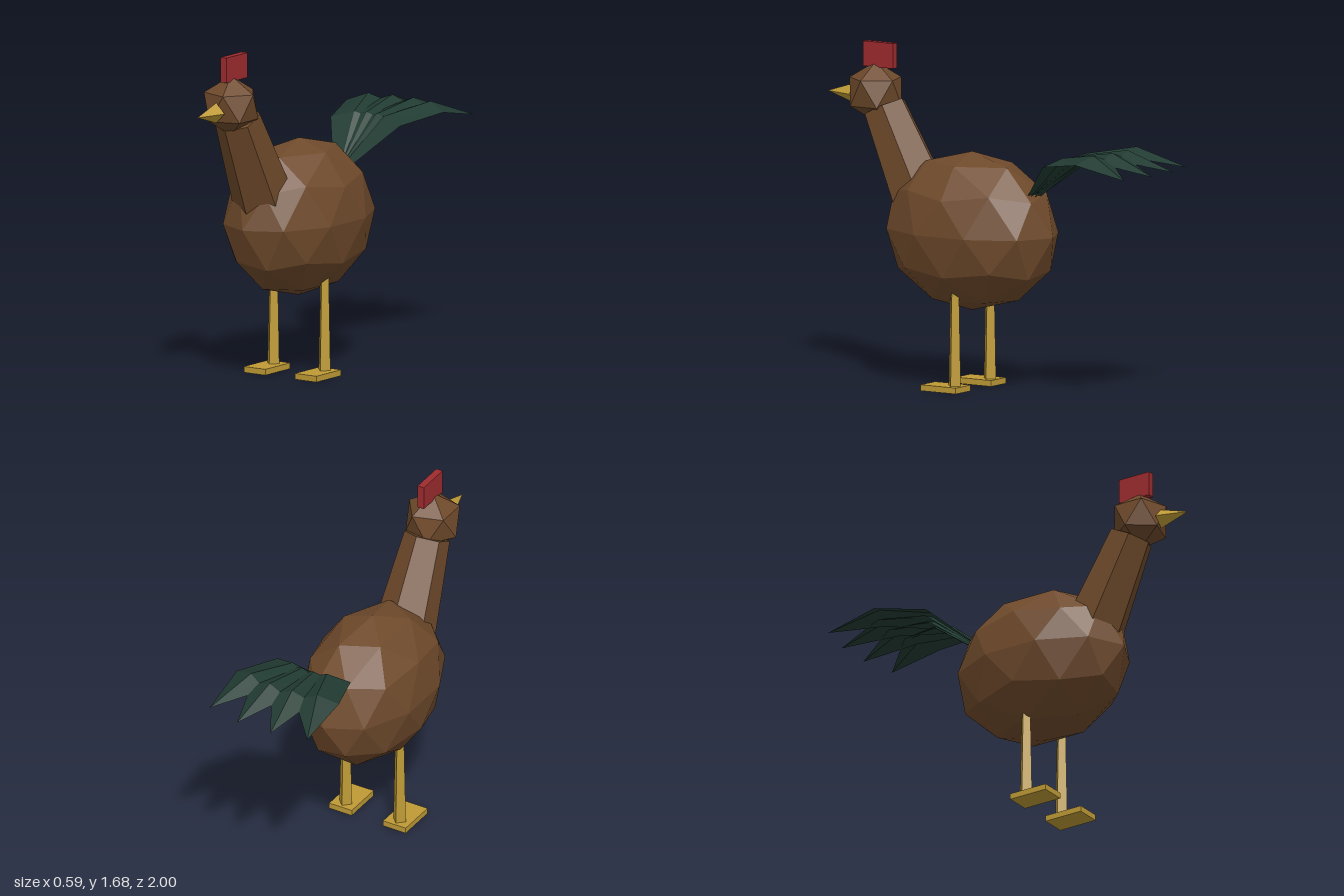
import * as THREE from 'three';

const mat = (name, color, side = THREE.FrontSide) => {
  const m = new THREE.MeshStandardMaterial({ color, flatShading: true, side });
  m.name = name;
  return m;
};

// Icosphere with poles on the y axis and two staggered rings of five
function icosphere(radius, detail) {
  const verts = [0, 1, 0, 0, -1, 0];
  const faces = [];
  const h = 1 / Math.sqrt(5), r = 2 * h;
  for (let k = 0; k < 5; k++) {
    const a = k * Math.PI * 0.4, b = a + Math.PI * 0.2;
    verts.push(r * Math.cos(a), h, r * Math.sin(a)); // upper ring: 2 + 2k
    verts.push(r * Math.cos(b), -h, r * Math.sin(b)); // lower ring: 3 + 2k
    const u = 2 + 2 * k, l = u + 1;
    const u2 = 2 + 2 * ((k + 1) % 5), l2 = u2 + 1;
    faces.push(0, u2, u, u, u2, l, l, u2, l2, 1, l, l2);
  }
  return new THREE.PolyhedronGeometry(verts, faces, radius, detail);
}

// Folded feather along -z: rows of left edge, raised midrib, right edge, then a tip
function featherGeometry() {
  const rows = [ // distance, half width, height of rib, drop of edge
    [0, 0.03, -0.035, 0.01],
    [0.28, 0.12, 0.206, 0.035],
    [0.544, 0.11, 0.25, 0.04],
  ];
  const pos = [], idx = [];
  rows.forEach(([d, w, y, drop]) => pos.push(-w, y - drop, -d, 0, y, -d, w, y - drop, -d));
  pos.push(0, 0.154, -0.805);
  for (let i = 0; i < 2; i++) {
    for (let j = 0; j < 2; j++) {
      const a = i * 3 + j, b = a + 1, c = a + 3, d = a + 4;
      idx.push(a, b, d, a, d, c);
    }
  }
  idx.push(6, 7, 9, 7, 8, 9);
  const g = new THREE.BufferGeometry();
  g.setAttribute('position', new THREE.Float32BufferAttribute(pos, 3));
  g.setIndex(idx);
  g.computeVertexNormals();
  return g;
}

export function createModel() {
  const model = new THREE.Group();
  model.name = 'rooster';
  const brown = mat('brown plumage', 0x6f4a2b);
  const yellow = mat('yellow horn', 0xbf9b36);
  const red = mat('red comb', 0x9e2b2f);
  const green = mat('dark green feathers', 0x213b32, THREE.DoubleSide);

  const add = (name, geometry, material, x, y, z, parent = model) => {
    const m = new THREE.Mesh(geometry, material);
    m.name = name;
    m.position.set(x, y, z);
    parent.add(m);
    return m;
  };

  // Body, neck and head
  add('body', icosphere(1, 1), brown, 0, 0.785, 0.14).scale.set(0.312, 0.395, 0.48);
  const neck = add('neck', new THREE.CylinderGeometry(0.115, 0.16, 0.55, 6), brown, 0, 1.111, 0.539);
  neck.rotation.x = Math.atan(0.5);
  add('head', icosphere(0.15, 0), brown, 0, 1.43, 0.715);

  // Beak and comb
  const beak = add('beak', new THREE.ConeGeometry(0.051, 0.16, 4), yellow, 0, 1.412, 0.92);
  beak.rotation.x = Math.PI / 2;
  add('comb', new THREE.BoxGeometry(0.036, 0.125, 0.18), red, 0, 1.617, 0.69);

  // Legs and feet
  for (const [side, s] of [['left', 1], ['right', -1]]) {
    add(side + 'Leg', new THREE.CylinderGeometry(0.025, 0.036, 0.5, 4), yellow, s * 0.155, 0.27, 0.14);
    add(side + 'Foot', new THREE.BoxGeometry(0.13, 0.03, 0.21), yellow, s * 0.155, 0.015, 0.195);
  }

  // Tail: four overlapping feathers in a fan
  const tail = new THREE.Group();
  tail.name = 'tail';
  tail.position.set(0, 1, -0.2);
  const feather = featherGeometry();
  for (const i of [-1.5, -0.5, 0.5, 1.5]) {
    add('tailFeather', feather, green, 0, 0, 0, tail).rotation.y = THREE.MathUtils.degToRad(i * 13.6);
  }
  model.add(tail);
  return model;
}
